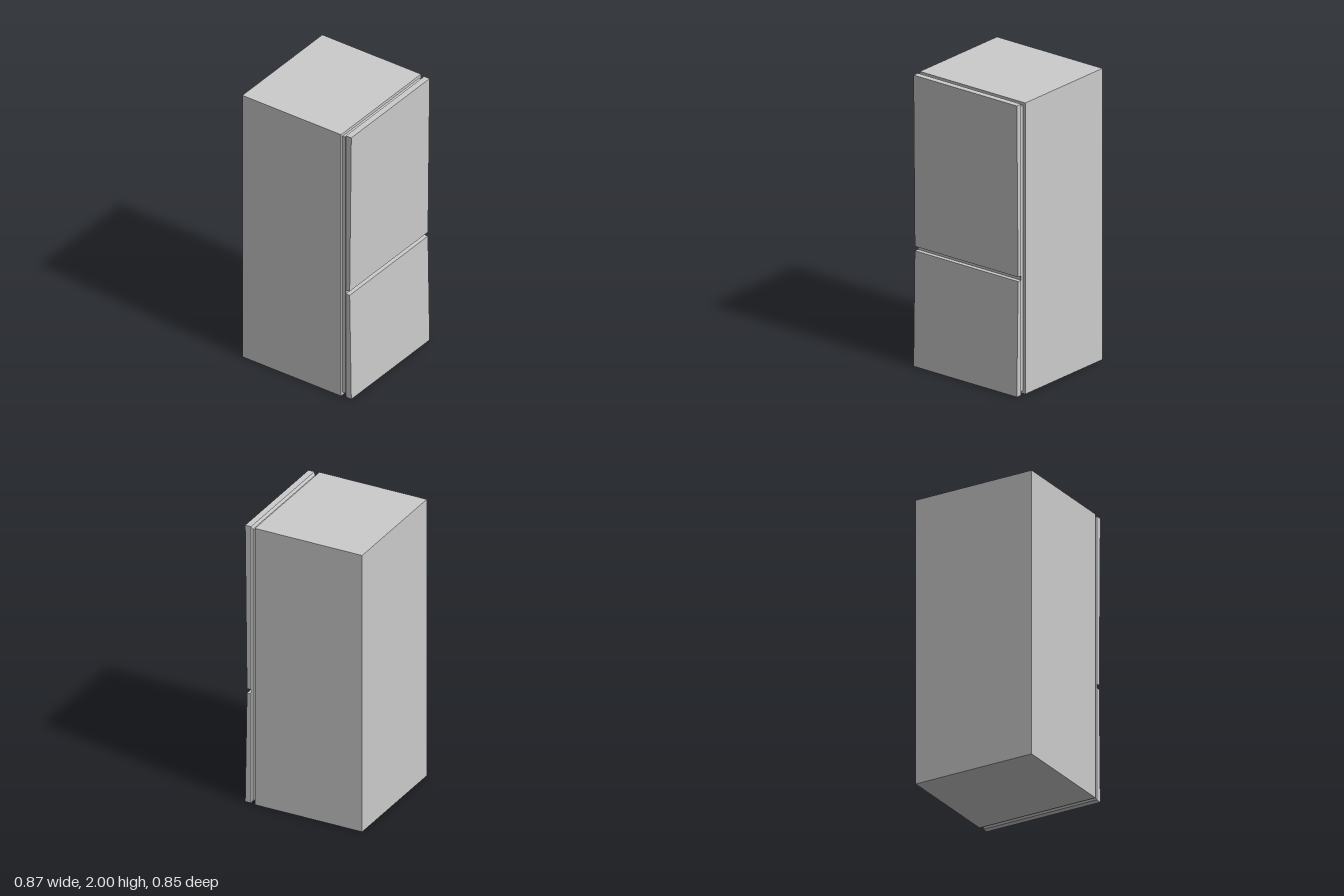
import * as THREE from 'three';

export function createModel() {
  const group = new THREE.Group();
  const material = new THREE.MeshStandardMaterial({ color: 0xcccccc, flatShading: true });

  const add = (name, geometry) => {
    const mesh = new THREE.Mesh(geometry, material);
    mesh.name = name;
    group.add(mesh);
  };

  // Box between two depths, with its own half width and bottom edge at back and front
  const slab = (name, zBack, zFront, back, front) => {
    const geometry = new THREE.BoxGeometry(2, 2, 1);
    const pos = geometry.attributes.position;
    for (let i = 0; i < pos.count; i++) {
      const isFront = pos.getZ(i) > 0;
      const [halfWidth, inset] = isFront ? front : back;
      pos.setXYZ(
        i,
        pos.getX(i) * halfWidth,
        1 + pos.getY(i) * (1 - inset),
        isFront ? zFront : zBack
      );
    }
    geometry.computeVertexNormals();
    add(name, geometry);
  };

  // Door from a side profile [z, y], extruded across the width
  const doorHalfWidth = 0.426;
  const door = (name, profile) => {
    const shape = new THREE.Shape(profile.map(([z, y]) => new THREE.Vector2(-z, y)));
    const geometry = new THREE.ExtrudeGeometry(shape, { depth: 2 * doorHalfWidth, bevelEnabled: false });
    geometry.translate(0, 0, -doorHalfWidth);
    geometry.rotateY(Math.PI / 2);
    add(name, geometry);
  };

  // Cabinet
  slab('cabinet', -0.427, 0.352, [0.435, 0], [0.435, 0]);

  // Recessed seal behind the doors, and the backing that flares out to them
  slab('doorSeal', 0.352, 0.375, [0.416, 0.02], [0.416, 0.02]);
  slab('doorBacking', 0.375, 0.384, [0.416, 0.02], [0.426, 0]);

  // Doors, thinning towards the gap between them
  door('upperDoor', [[0.384, 0.82], [0.414, 0.82], [0.427, 2], [0.384, 2]]);
  door('lowerDoor', [[0.384, 0], [0.427, 0], [0.414, 0.79], [0.384, 0.79]]);

  return group;
}
